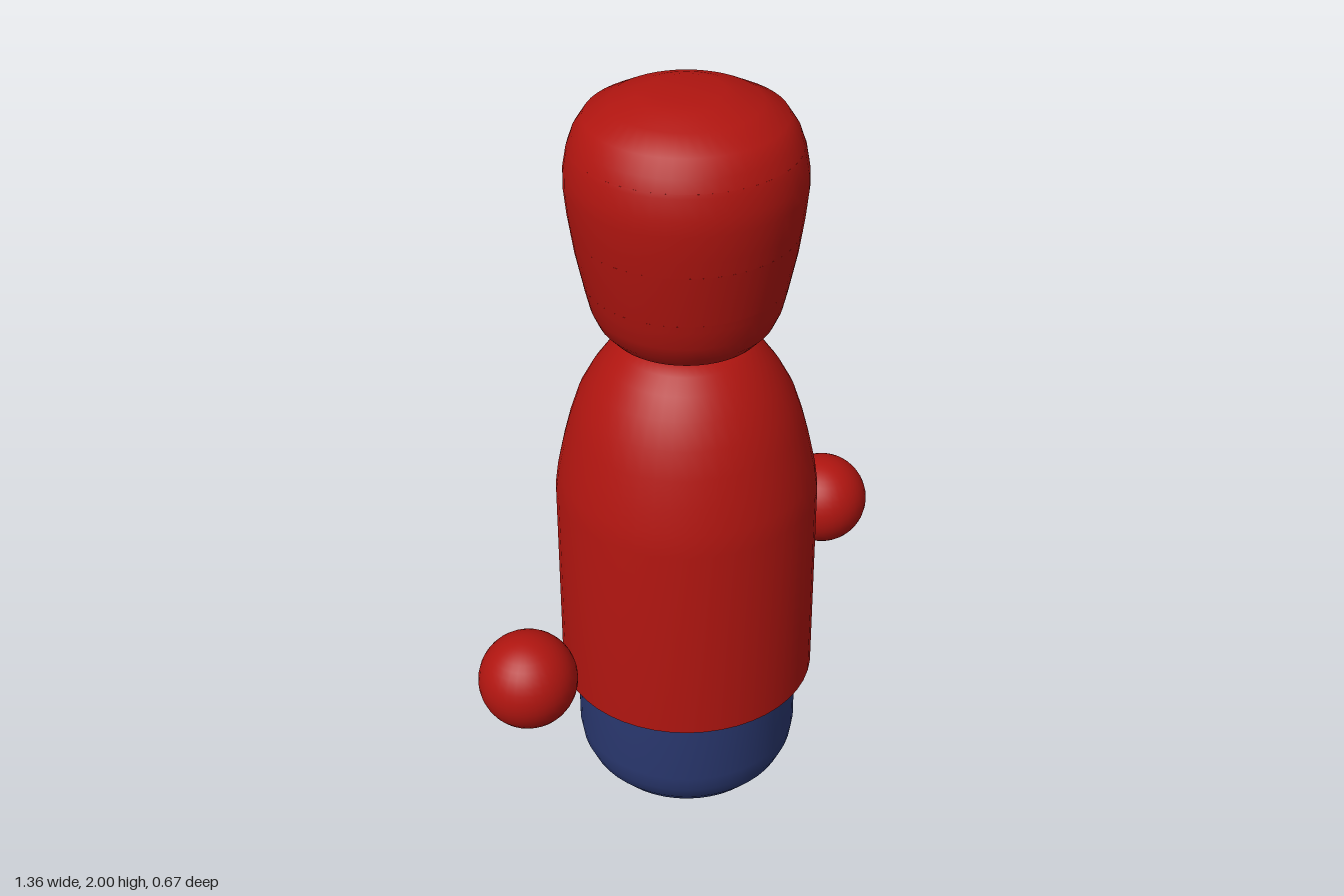
import * as THREE from 'three';
import { toCreasedNormals } from 'three/addons/utils/BufferGeometryUtils.js';

const RED = 0xb01510, BLUE = 0x2a3870, TAN = 0xb89f6c;
const CREASE = 0.6, SEGMENTS = 48;
const rad = THREE.MathUtils.degToRad;
const material = (color) => new THREE.MeshStandardMaterial({ color, side: THREE.DoubleSide });
const vectors = (points) => points.map(([r, y]) => new THREE.Vector2(r, y));

function addMesh(parent, name, geometry, mat) {
  const mesh = new THREE.Mesh(geometry, mat);
  mesh.name = name;
  parent.add(mesh);
  return mesh;
}

function lathe(points, start = 0, length = Math.PI * 2) {
  const segments = Math.ceil(SEGMENTS * length / (Math.PI * 2));
  return toCreasedNormals(new THREE.LatheGeometry(vectors(points), segments, start, length), CREASE);
}

// Outer outline of the hood, bottom to top, as [radius, height]
const hoodOutline = [
  [0.15, 1.36], [0.19, 1.38], [0.217, 1.41], [0.235, 1.45], [0.247, 1.5], [0.268, 1.6],
  [0.283, 1.7], [0.29, 1.77], [0.289, 1.81], [0.28, 1.86], [0.266, 1.9], [0.24, 1.94],
  [0.18, 1.972], [0.12, 1.993], [0.09, 2], [0, 2],
];

function hoodRadius(y) {
  const i = Math.max(1, hoodOutline.findIndex((p) => p[1] >= y));
  const [r0, y0] = hoodOutline[i - 1], [r1, y1] = hoodOutline[i];
  return r0 + (r1 - r0) * (y - y0) / (y1 - y0);
}

// One band of the hood wall, open towards -z by the given angles on each side
function addHoodBand(parent, mat, y0, y1, openRight, openLeft) {
  const outer = [
    [hoodRadius(y0), y0],
    ...hoodOutline.filter(([, y]) => y > y0 + 0.001 && y < y1 - 0.001),
    [hoodRadius(y1), y1],
  ];
  const inner = outer.map(([r, y]) => [r - 0.045, y]).reverse();
  const section = [...outer, ...inner, outer[0]];
  const start = Math.PI + rad(openRight);
  const length = Math.PI * 2 - rad(openRight + openLeft);
  addMesh(parent, 'hoodBand', lathe(section, start, length), mat);
  // Flat faces along both cut edges
  for (const angle of [start, start + length]) {
    const cut = new THREE.ShapeGeometry(new THREE.Shape(vectors(section.slice(0, -1))));
    addMesh(parent, 'hoodEdge', cut.rotateY(angle - Math.PI / 2), mat);
  }
}

export function createModel() {
  const model = new THREE.Group();
  const red = material(RED), blue = material(BLUE), tan = material(TAN);

  const figure = new THREE.Group();
  figure.name = 'figure';
  figure.position.x = -0.008;
  model.add(figure);

  // Rounded base showing below the coat
  addMesh(figure, 'legs', lathe([
    [0, 0.005], [0.16, 0.005], [0.2, 0.015], [0.24, 0.04], [0.27, 0.075],
    [0.288, 0.115], [0.295, 0.16], [0.295, 0.37],
  ]), blue);

  // Coat with sloping shoulders and a flat underside
  addMesh(figure, 'torso', lathe([
    [0.29, 0.36], [0.336, 0.36], [0.336, 0.92], [0.328, 0.98], [0.313, 1.05], [0.295, 1.12],
    [0.272, 1.19], [0.24, 1.25], [0.205, 1.3], [0.17, 1.335], [0.145, 1.353], [0.1, 1.362], [0, 1.365],
  ]), red);

  // Head inside the hood
  addMesh(figure, 'face', lathe([
    [0, 1.39], [0.13, 1.39], [0.165, 1.405], [0.19, 1.43], [0.208, 1.49], [0.225, 1.6],
    [0.236, 1.7], [0.24, 1.78], [0.235, 1.86], [0.22, 1.9], [0, 1.9],
  ]), tan);

  // Hood with a stepped opening around the face
  const hood = new THREE.Group();
  hood.name = 'hood';
  figure.add(hood);
  addMesh(hood, 'hoodCrown', lathe([
    [0.22, 1.87], [hoodRadius(1.87), 1.87], ...hoodOutline.filter(([, y]) => y > 1.88),
  ]), red);
  addHoodBand(hood, red, 1.66, 1.87, 37, 43);
  addHoodBand(hood, red, 1.52, 1.66, 45, 54);
  addHoodBand(hood, red, 1.36, 1.52, 55, 64);
  addMesh(hood, 'neck', new THREE.CylinderGeometry(0.13, 0.14, 0.06, SEGMENTS), red).position.y = 1.365;

  // Small slot low on the left of the hood
  addMesh(hood, 'slot', new THREE.BoxGeometry(0.02, 0.014, 0.05), tan).position.set(0.222, 1.43, -0.022);

  // Floating ball hands
  for (const side of [-1, 1]) {
    const hand = addMesh(model, side > 0 ? 'leftHand' : 'rightHand',
      new THREE.SphereGeometry(0.125, 32, 20), red);
    hand.position.set(side * 0.557, 0.58, -0.018);
  }
  return model;
}
